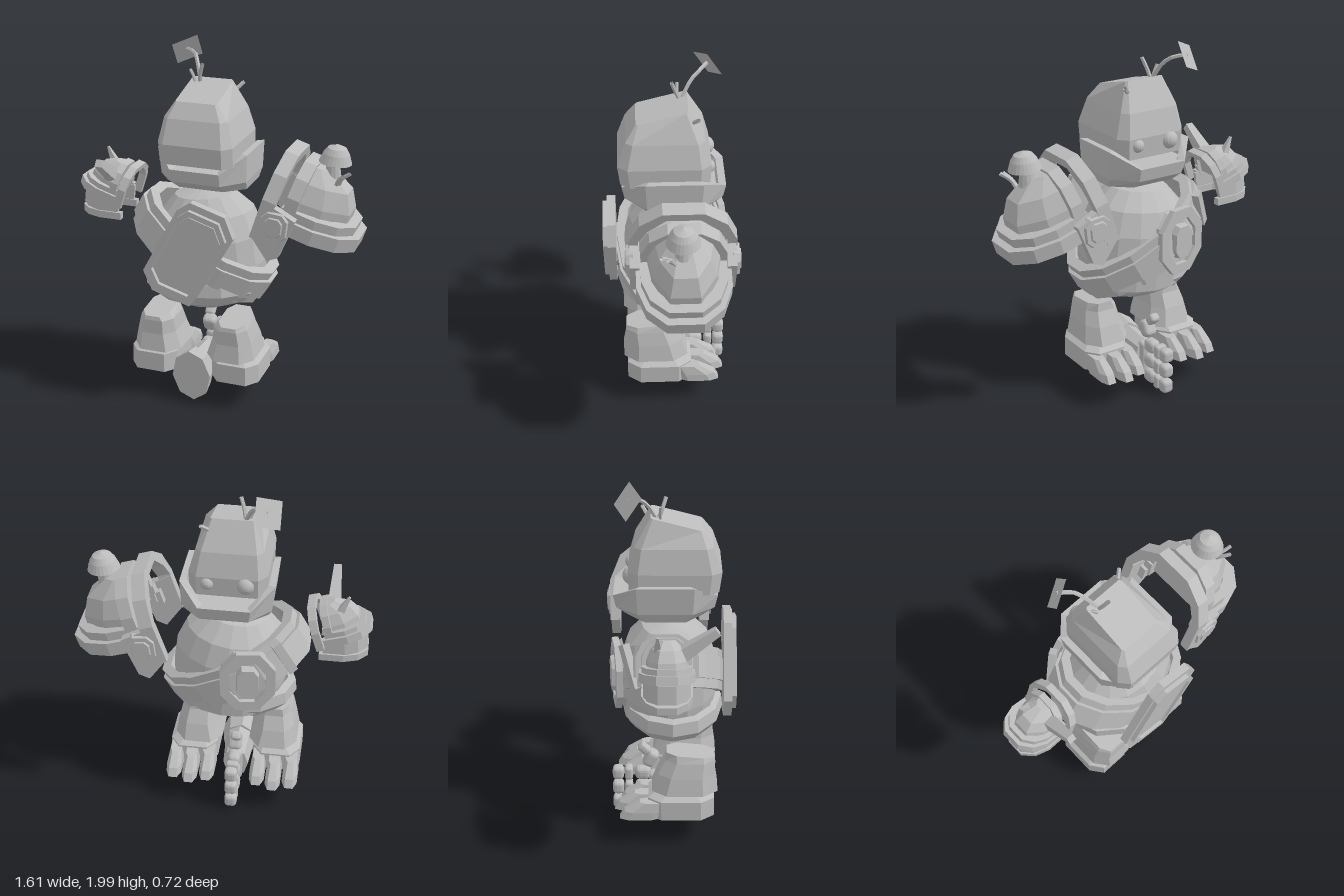
import * as THREE from 'three';
import { RoundedBoxGeometry } from 'three/addons/geometries/RoundedBoxGeometry.js';

const grey = new THREE.MeshStandardMaterial({ color: 0xbcbcbc, flatShading: true, side: THREE.DoubleSide });
grey.name = 'clayGrey';

function add(parent, name, geo, pos = [0, 0, 0], rot = [0, 0, 0], scale = [1, 1, 1]) {
  const m = new THREE.Mesh(geo, grey);
  m.name = name;
  m.position.set(...pos);
  m.rotation.set(...rot);
  m.scale.set(...scale);
  parent.add(m);
  return m;
}

// Ring of eight points: a rectangle with cut corners; y may be a rule of (x, z)
function oct(cx, cz, rx, rz, y, cut = 0.55) {
  const c = [[1, -cut], [cut, -1], [-cut, -1], [-1, -cut], [-1, cut], [-cut, 1], [cut, 1], [1, cut]];
  return c.map(([a, b]) => {
    const x = cx + a * rx, z = cz + b * rz;
    return [x, typeof y === 'function' ? y(a, b) : y, z];
  });
}

// Skin between rings ordered bottom to top, with both ends closed
function loft(rings) {
  const p = [], n = rings[0].length;
  for (let r = 0; r < rings.length - 1; r++) {
    for (let i = 0; i < n; i++) {
      const j = (i + 1) % n, a = rings[r], b = rings[r + 1];
      p.push(a[i], a[j], b[j], a[i], b[j], b[i]);
    }
  }
  const lo = rings[0], hi = rings[rings.length - 1];
  for (let i = 1; i < n - 1; i++) p.push(lo[0], lo[i + 1], lo[i], hi[0], hi[i], hi[i + 1]);
  const g = new THREE.BufferGeometry();
  g.setAttribute('position', new THREE.Float32BufferAttribute(p.flat(), 3));
  g.computeVertexNormals();
  return g;
}

const extrude = (shape, depth) => new THREE.ExtrudeGeometry(shape, { depth, bevelEnabled: false });
const lathe = (pts, n) => new THREE.LatheGeometry(pts.map(q => new THREE.Vector2(...q)), n);

// Half-octagon arch with legs from y0 up to y1
function arch(w, y0, y1, t, depth) {
  const h = y1 - y0;
  const side = (x, top) => [[x, y0], [x, y0 + h * 0.5], [x * 0.8, top - h * 0.2], [x * 0.38, top]];
  const o = side(w, y1), i = side(w - t, y1 - t);
  const flip = a => a.map(([x, y]) => [-x, y]);
  const pts = [...o, ...flip(o).reverse(), ...flip(i), ...i.reverse()];
  return extrude(new THREE.Shape(pts.map(q => new THREE.Vector2(...q))), depth);
}
const standArch = (...a) => arch(...a).rotateY(Math.PI / 2);
const flatArch = (...a) => arch(...a).rotateZ(-Math.PI / 2).rotateX(Math.PI / 2);

function stalk(parent, pts, r = 0.011) {
  const curve = new THREE.CatmullRomCurve3(pts.map(q => new THREE.Vector3(...q)));
  add(parent, 'stalk', new THREE.TubeGeometry(curve, 6, r, 5));
}

// Upright plate with cut corners, tapering towards +z
const badge = (rx, ry, d) => loft([oct(0, 0, rx, ry, -d / 2), oct(0, 0, rx * 0.88, ry * 0.88, d / 2)]).rotateX(Math.PI / 2);

// Shoulder armour, pointing along +x
function pauldron(big) {
  const g = new THREE.Group();
  g.name = big ? 'leftPauldron' : 'rightPauldron';
  const half = (u, w, v) => [[0, v, w], [u * 0.55, v, w * 0.85], [u, v, w * 0.4],
    [u, v, -w * 0.4], [u * 0.55, v, -w * 0.85], [0, v, -w]];
  add(g, 'dome', loft([half(0.3, 0.2, 0.03), half(0.29, 0.19, 0.15), half(0.24, 0.15, 0.25), half(0.11, 0.08, 0.325)]));
  add(g, 'innerArch', standArch(0.28, big ? -0.1 : -0.03, 0.36, 0.05, 0.075), [-0.14, 0, 0]);
  add(g, 'outerArch', standArch(0.22, 0, 0.34, 0.05, 0.07), [-0.03, 0, 0]);
  add(g, 'rim', flatArch(0.245, -0.06, 0.385, 0.06, 0.08), [0, 0.055, 0]);
  add(g, 'rimStep', flatArch(0.22, -0.04, 0.345, 0.05, 0.05), [0, 0.105, 0]);
  if (big) for (const s of [-1, 1]) {
    const flap = new THREE.Shape([[-0.14, 0.12], [-0.14, -0.09], [-0.01, -0.19], [0.04, -0.15], [0.06, 0.08]]
      .map(q => new THREE.Vector2(...q)));
    add(g, 'sideFlap', extrude(flap, 0.05), [0, 0, s * 0.25 - 0.025]);
    const spin = s > 0 ? 0 : Math.PI, tilt = s * 0.2;
    add(g, 'medallion', badge(0.08, 0.085, 0.035), [-0.035, 0.01, s * 0.275], [0, spin, tilt]);
    add(g, 'medallionStud', badge(0.05, 0.055, 0.01), [-0.035, 0.01, s * 0.296], [0, spin, tilt]);
  }
  return g;
}

export function createModel() {
  const model = new THREE.Group();
  model.name = 'armouredGiant';

  // Head, jaw and eyes; the face looks towards -z
  const head = new THREE.Group();
  head.name = 'head';
  model.add(head);
  add(head, 'skull', loft([
    oct(-0.045, 0.02, 0.205, 0.235, 1.41, 0.78), oct(-0.045, 0.025, 0.207, 0.245, 1.52, 0.78),
    oct(-0.05, 0.02, 0.175, 0.205, 1.65, 0.82),
    oct(-0.057, 0.035, 0.115, 0.135, (a, b) => 1.765 - b * 0.035, 0.92)]));
  const rise = a => Math.abs(a) > 0.9 ? 1.46 : 1.38;
  add(head, 'jaw', loft([oct(-0.03, -0.025, 0.225, 0.195, 1.26), oct(-0.035, -0.025, 0.24, 0.26, 1.31),
    oct(-0.04, -0.025, 0.25, 0.275, rise), oct(-0.04, -0.025, 0.215, 0.235, rise),
    oct(-0.04, -0.025, 0.205, 0.225, 1.36)]));
  add(head, 'largeEye', new THREE.SphereGeometry(0.05, 20, 14), [-0.14, 1.48, -0.2]);
  add(head, 'smallEye', new THREE.SphereGeometry(0.037, 20, 14), [0.06, 1.48, -0.205]);
  stalk(head, [[-0.12, 1.78, -0.07], [-0.155, 1.87, -0.12], [-0.19, 1.91, -0.17], [-0.25, 1.92, -0.21]]);
  stalk(head, [[-0.12, 1.78, -0.06], [-0.11, 1.83, -0.04], [-0.09, 1.89, -0.02]]);
  stalk(head, [[-0.14, 1.78, -0.05], [-0.15, 1.81, -0.05], [-0.17, 1.85, -0.05]], 0.009);
  stalk(head, [[0.03, 1.71, -0.1], [0.06, 1.74, -0.12], [0.1, 1.78, -0.15]]);
  const leaf = [[-0.31, 1.95, -0.14], [-0.31, 1.83, -0.22], [-0.188, 1.88, -0.285], [-0.188, 2.0, -0.205]];
  const leafGeo = new THREE.BufferGeometry();
  leafGeo.setAttribute('position', new THREE.Float32BufferAttribute([0, 1, 2, 0, 2, 3].flatMap(i => leaf[i]), 3));
  leafGeo.computeVertexNormals();
  add(head, 'leaf', leafGeo);

  // Torso, hip bowl and diagonal sash
  const torso = new THREE.Group();
  torso.name = 'torso';
  model.add(torso);
  add(torso, 'body', lathe([[0.3, -0.25], [0.315, -0.1], [0.31, 0.06], [0.265, 0.19], [0.17, 0.285], [0, 0.325]], 16),
    [-0.045, 0.9, -0.01], [0, 0, 0.1], [1, 1, 0.85]);
  add(torso, 'hipBowl', lathe([[0, -0.125], [0.17, -0.12], [0.31, -0.06], [0.365, 0.0], [0.355, 0.07], [0.31, 0.08], [0.28, 0.0]], 12),
    [-0.06, 0.675, 0.015], [0, 0, 0.04], [0.96, 1, 0.75]);
  const ring = (r0, r1, h) => lathe([[r0, -h], [r1, -h], [r1, h], [r0, h], [r0, -h]], 14);
  const tilt = [0, 0, -0.52], squash = [1, 1, 0.69];
  add(torso, 'sash', ring(0.36, 0.418, 0.11), [-0.068, 0.89, -0.005], tilt, squash);
  add(torso, 'sashRidge', ring(0.38, 0.438, 0.06), [-0.068, 0.89, -0.005], tilt, squash);

  // Back shield, each layer a shrunken copy of the one below
  const plate = [[-0.03, 1.24], [0.16, 1.18], [0.205, 1.065], [0.0, 0.7], [-0.04, 0.645], [-0.255, 0.71], [-0.305, 0.82], [-0.105, 1.19]];
  const shield = (k) => new THREE.Shape(plate.map(([x, y]) =>
    new THREE.Vector2(-0.05 + (x + 0.05) * k, 0.943 + (y - 0.943) * k)));
  add(torso, 'shieldBase', extrude(shield(1), 0.045), [0, 0, 0.287]);
  const rim = shield(0.87);
  rim.holes.push(new THREE.Path(shield(0.77).getPoints().reverse()));
  add(torso, 'shieldRim', extrude(rim, 0.025), [0, 0, 0.332]);
  add(torso, 'shieldPanel', extrude(shield(0.73), 0.01), [0, 0, 0.332]);

  // Buckle and clip on the chest
  const belt = new THREE.Group();
  belt.name = 'buckle';
  belt.position.set(-0.165, 0.925, -0.275);
  belt.rotation.y = 0.15;
  torso.add(belt);
  const buckle = new THREE.Shape(), hole = new THREE.Path();
  for (let i = 0; i < 8; i++) {
    const a = (i + 0.5) * Math.PI / 4, x = Math.cos(a), y = Math.sin(a);
    buckle[i ? 'lineTo' : 'moveTo'](x * 0.16, y * 0.2);
    hole[i ? 'lineTo' : 'moveTo'](x * 0.105, y * 0.14);
  }
  buckle.holes.push(hole);
  add(belt, 'buckleRing', extrude(buckle, 0.035), [0, 0, -0.03]);
  add(belt, 'buckleBack', badge(0.14, 0.17, 0.03), [0, 0, 0.01], [0, Math.PI, 0]);
  add(belt, 'buckleGem', badge(0.065, 0.1, 0.06), [0, 0, -0.015], [0, Math.PI, 0]);
  add(torso, 'sashClip', new THREE.BoxGeometry(0.05, 0.24, 0.04), [-0.35, 1.05, -0.21], [0, 0.6, -0.5]);

  // Large shoulder with its mushroom
  const left = pauldron(true);
  left.position.set(0.42, 1.1, -0.06);
  left.rotation.z = -0.31;
  model.add(left);
  add(model, 'mushroomStem', new THREE.CylinderGeometry(0.035, 0.045, 0.11, 12), [0.63, 1.38, -0.05]);
  add(model, 'mushroomCap', lathe([[0, -0.01], [0.05, -0.015], [0.088, 0.0], [0.07, 0.05], [0.05, 0.08], [0.0, 0.1]], 24), [0.64, 1.42, -0.05], [0, 0, -0.1]);
  stalk(model, [[0.67, 1.3, -0.02], [0.69, 1.35, 0.01], [0.74, 1.39, 0.03]]);
  stalk(model, [[0.66, 1.31, 0.0], [0.68, 1.35, 0.03], [0.71, 1.38, 0.06]]);

  // Small shoulder with its skirt and spikes
  const right = pauldron(false);
  right.position.set(-0.59, 1.115, -0.015);
  right.rotation.set(0, Math.PI, 0.31);
  right.scale.setScalar(0.57);
  model.add(right);
  add(model, 'lowerPlate', flatArch(0.13, -0.06, 0.2, 0.035, 0.04), [-0.59, 1.04, -0.015], [0, Math.PI, 0]);
  add(model, 'skirt', flatArch(0.12, -0.05, 0.185, 0.02, 0.1), [-0.59, 1.13, -0.015], [0, Math.PI, 0.12]);
  add(model, 'longSpike', new THREE.CylinderGeometry(0.03, 0.052, 0.25, 4).rotateY(Math.PI / 4), [-0.59, 1.29, 0.135], [0.95, 0, 0]);
  add(model, 'shortSpike', new THREE.CylinderGeometry(0.008, 0.042, 0.17, 4).rotateY(Math.PI / 4), [-0.635, 1.285, -0.06], [0, 0, 0.45]);

  // Legs and feet, mirrored about the body
  for (const s of [-1, 1]) {
    const leg = new THREE.Group();
    leg.name = s < 0 ? 'rightLeg' : 'leftLeg';
    leg.position.x = -0.073;
    model.add(leg);
    const slope = (a, b) => 0.515 - b * 0.012;
    add(leg, 'thigh', loft([oct(s * 0.215, 0.08, 0.137, 0.18, 0.3), oct(s * 0.222, 0.09, 0.112, 0.155, 0.4),
      oct(s * 0.217, 0.11, 0.096, 0.135, 0.48), oct(s * 0.223, 0.11, 0.076, 0.13, slope)]));
    add(leg, 'foot', loft([oct(s * 0.24, 0.06, 0.138, 0.18, 0.165, 0.6), oct(s * 0.24, 0.06, 0.135, 0.18, 0.275, 0.6),
      oct(s * 0.23, 0.06, 0.11, 0.14, 0.3, 0.6)]));
    for (let i = -1; i <= 1; i++) {
      const x = s * 0.24 + i * 0.095, z = i === 0 ? -0.015 : 0.015;
      add(leg, 'toe', loft([oct(x, -0.18 + z, 0.043, 0.11, 0.165), oct(x, -0.16 + z, 0.042, 0.105, 0.21),
        oct(x, -0.11 + z, 0.032, 0.07, 0.265)]));
    }
  }

  // Loose gauntlet lying between the feet
  const hand = new THREE.Group();
  hand.name = 'gauntlet';
  hand.position.set(-0.08, 0.155, 0);
  model.add(hand);
  const cuff = (r0, r1, d) => new THREE.CylinderGeometry(r0, r1, d, 8).rotateX(Math.PI / 2);
  add(hand, 'cuff', cuff(0.15, 0.13, 0.11), [0, 0, 0.155], [0, 0, 0.1], [0.75, 1, 1]);
  add(hand, 'wrist', cuff(0.12, 0.1, 0.2), [0, 0, 0.01], [0, 0, 0], [0.72, 1, 1]);
  const joint = (w, h, d) => new RoundedBoxGeometry(w, h, d, 2, Math.min(h, d) * 0.35);
  add(hand, 'palm', joint(0.08, 0.2, 0.06), [0, 0, -0.09]);
  const columns = [[-0.155, 0.09], [-0.235, 0.045], [-0.295, 0.065]];
  for (const y of [-0.095, 0, 0.095]) {
    for (const [z, d] of columns) add(hand, 'fingerJoint', joint(0.07, 0.078, d), [0, y, z]);
  }
  add(hand, 'thumbBase', joint(0.08, 0.1, 0.07), [0, 0.19, -0.11], [0.5, 0, 0]);
  add(hand, 'thumbTip', joint(0.058, 0.05, 0.075), [-0.01, 0.255, -0.145], [0.8, 0, 0]);

  return model;
}
